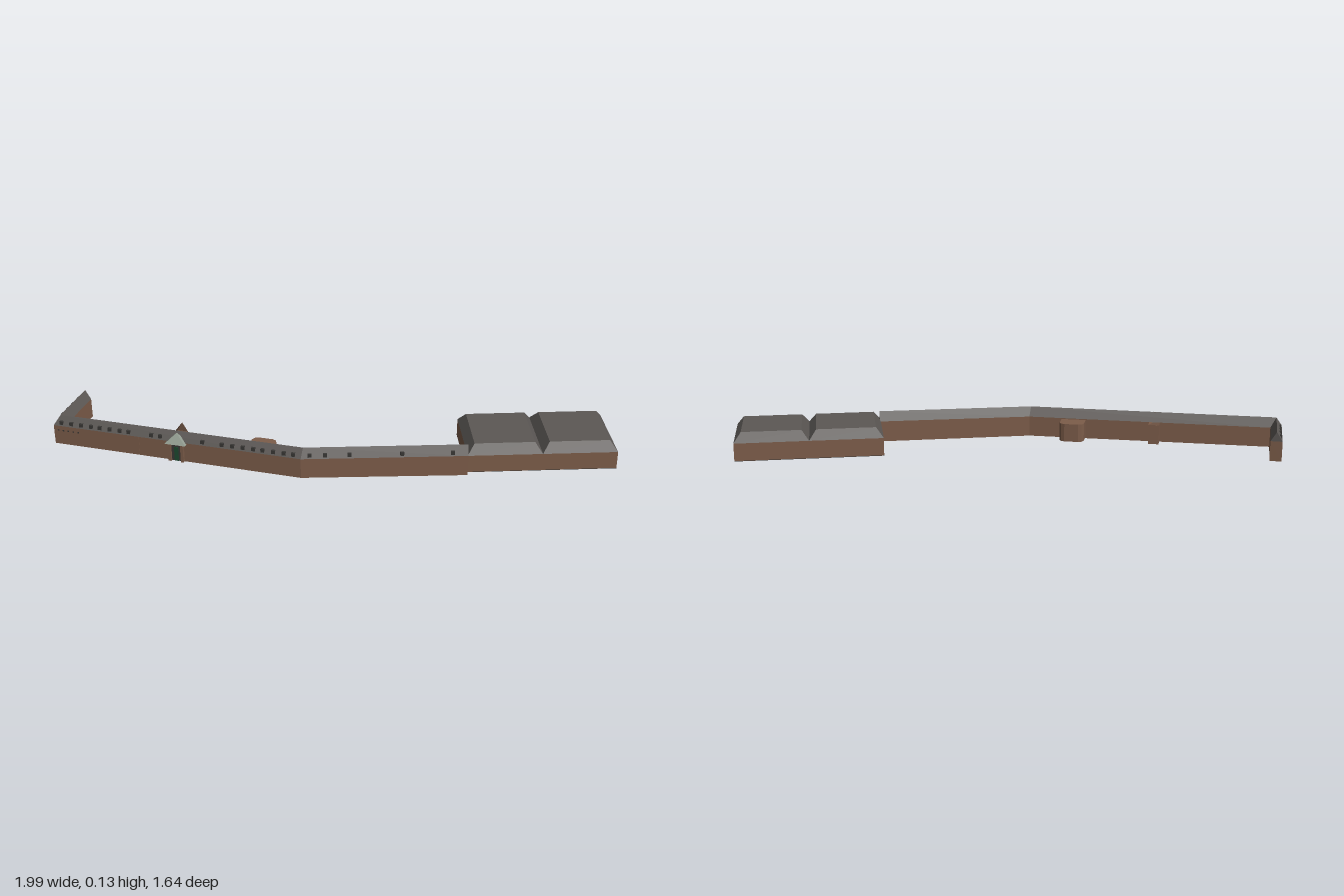
import * as THREE from 'three';

const EAVE = 0.09, TOP = 0.13;
const mat = (color) => new THREE.MeshStandardMaterial({ color, flatShading: true });
const brick = mat(0x7d5d4a), slate = mat(0x5c5855), dark = mat(0x3a3836),
  green = mat(0x1d4a30), copper = mat(0x929c90), brownRoof = mat(0x6e5242);

// Closed solid through matching rings of [x, y, z] points
function loft(rings) {
  const n = rings[0].length, pos = [];
  const tri = (...p) => p.forEach((q) => pos.push(...q));
  for (let i = 0; i < rings.length - 1; i++) {
    for (let j = 0; j < n; j++) {
      const k = (j + 1) % n, a = rings[i], b = rings[i + 1];
      tri(a[j], a[k], b[k]);
      tri(a[j], b[k], b[j]);
    }
  }
  const s = rings[0], e = rings[rings.length - 1];
  for (let j = 1; j < n - 1; j++) {
    tri(s[0], s[j + 1], s[j]);
    tri(e[0], e[j], e[j + 1]);
  }
  const g = new THREE.BufferGeometry();
  g.setAttribute('position', new THREE.Float32BufferAttribute(pos, 3));
  g.computeVertexNormals();
  return g;
}

// Horizontal rectangle, counter-clockwise from above
const rect = (x0, x1, z0, z1, y) => [[x0, y, z1], [x1, y, z1], [x1, y, z0], [x0, y, z0]];

function add(parent, name, geometry, material, x = 0, y = 0, z = 0) {
  const m = new THREE.Mesh(geometry, material);
  m.name = name;
  m.position.set(x, y, z);
  parent.add(m);
  return m;
}
const box = (w, h, d) => new THREE.BoxGeometry(w, h, d);

function frame(parent, name, x, z, turn) {
  const g = new THREE.Group();
  g.name = name;
  g.position.set(x, 0, z);
  g.rotation.y = turn;
  parent.add(g);
  return g;
}

// Footprint of the angled wing: outer and inner wall lines, and foot heights
const outer = [[-1, 0.58], [-0.88, 0.815], [0.085, 0.315], [0.565, -0.165]];
const inner = [[-0.955, 0.56], [-0.86, 0.748], [0.065, 0.265], [0.53, -0.2]];
const foot = [0.005, 0.005, 0.003, 0];

// Point and heading on an outer wall segment for a given x
function onWall(i, x) {
  const [a, b] = [outer[i], outer[i + 1]];
  const t = (x - a[0]) / (b[0] - a[0]);
  return { x, z: a[1] + t * (b[1] - a[1]), turn: Math.atan2(a[1] - b[1], b[0] - a[0]) };
}

export function createModel() {
  const model = new THREE.Group();
  model.name = 'building';

  // Long wing: mitred walls and a gabled roof
  add(model, 'wingWalls', loft(outer.map(([x, z], i) => {
    const [u, w] = inner[i];
    return [[x, foot[i], z], [u, foot[i], w], [u, EAVE, w], [x, EAVE, z]];
  })), brick);
  add(model, 'wingRoof', loft(outer.map(([x, z], i) => {
    const [u, w] = inner[i];
    return [[x, EAVE, z], [u, EAVE, w], [(x + u) / 2, TOP, (z + w) / 2]];
  })), slate);

  // Dormers along the outer roof slope
  const dormers = [
    [-0.982, -0.958, -0.936, -0.914],
    [-0.85, -0.81, -0.77, -0.73, -0.695, -0.655, -0.615, -0.58, -0.49, -0.455, -0.29,
      -0.215, -0.175, -0.135, -0.095, -0.06, -0.02, 0.02, 0.055],
    [0.11, 0.155, 0.225, 0.375, 0.52],
  ];
  dormers.forEach((xs, i) => xs.forEach((x) => {
    const p = onWall(i, x);
    const f = frame(model, 'dormer', p.x, p.z, p.turn);
    add(f, 'dormerBox', box(0.016, 0.016, 0.018), dark, 0, 0.102, -0.012);
  }));

  // Small upper windows and a pilaster on the front wall
  for (let i = 0; i < 5; i++) {
    const p = onWall(1, -0.862 + i * 0.02);
    const f = frame(model, 'smallWindow', p.x, p.z, p.turn);
    add(f, 'windowPane', box(0.007, 0.006, 0.002), dark, 0, 0.07, 0);
  }
  const pl = onWall(1, -0.54);
  add(frame(model, 'pilaster', pl.x, pl.z, pl.turn), 'pilasterStrip',
    box(0.006, 0.084, 0.004), brick, 0, 0.048, 0);

  // Entrance porch with a pointed roof
  const p = onWall(1, -0.39);
  const porch = frame(model, 'entrancePorch', p.x, p.z, p.turn);
  add(porch, 'porchRoof', loft([
    rect(-0.045, 0.045, -0.025, 0.018, 0.085),
    rect(-0.001, 0.001, -0.012, -0.01, 0.127),
  ]), copper);
  for (const s of [-1, 1]) {
    add(porch, 'porchPillar', box(0.012, 0.08, 0.016), brick, s * 0.027, 0.045, 0.006);
  }
  add(porch, 'doorSurround', box(0.044, 0.078, 0.006), dark, 0, 0.044, 0.001);
  add(porch, 'door', box(0.018, 0.064, 0.006), green, 0, 0.037, 0.003);

  // Stair block behind the entrance, with its own little gable
  const stair = frame(model, 'stairBlock', -0.43, 0.505, p.turn);
  add(stair, 'stairWalls', box(0.046, 0.085, 0.06), brick, 0, 0.0475, 0);
  const gable = (z) => [[0.023, EAVE, z], [0, TOP, z], [-0.023, EAVE, z]];
  add(stair, 'stairRoof', loft([gable(-0.03), gable(0.04)].reverse()), brownRoof);

  // Flat-roofed annex with cut back corners
  const annex = frame(model, 'annex', -0.125, 0.325, p.turn);
  const plan = (y) => [[-0.053, 0.05], [0.053, 0.05], [0.053, -0.025], [0.045, -0.041],
    [0.03, -0.047], [-0.03, -0.047], [-0.045, -0.041], [-0.053, -0.025]]
    .map(([x, z]) => [x, y, z]);
  add(annex, 'annexWalls', loft([plan(0.008), plan(0.086)]), brick);

  // Large hall: one block under two flat-topped hipped roofs
  const hall = frame(model, 'hall', 0.665, -0.4925, 0.797);
  const L = 0.3075, W = 0.157, IN = 0.03;
  add(hall, 'hallWalls', loft([rect(-L, L, -W, W, 0.015), rect(-L, L, -W, W, EAVE)]), brick);
  add(hall, 'hallFloor', box(2 * L, 0.002, 2 * W), dark, 0, 0.0145, 0);
  for (const x0 of [-L, 0]) {
    add(hall, 'hallRoof', loft([
      rect(x0, x0 + L, -W, W, EAVE),
      rect(x0 + IN, x0 + L - IN, -W + IN, W - IN, TOP),
    ]), slate);
  }
  return model;
}
